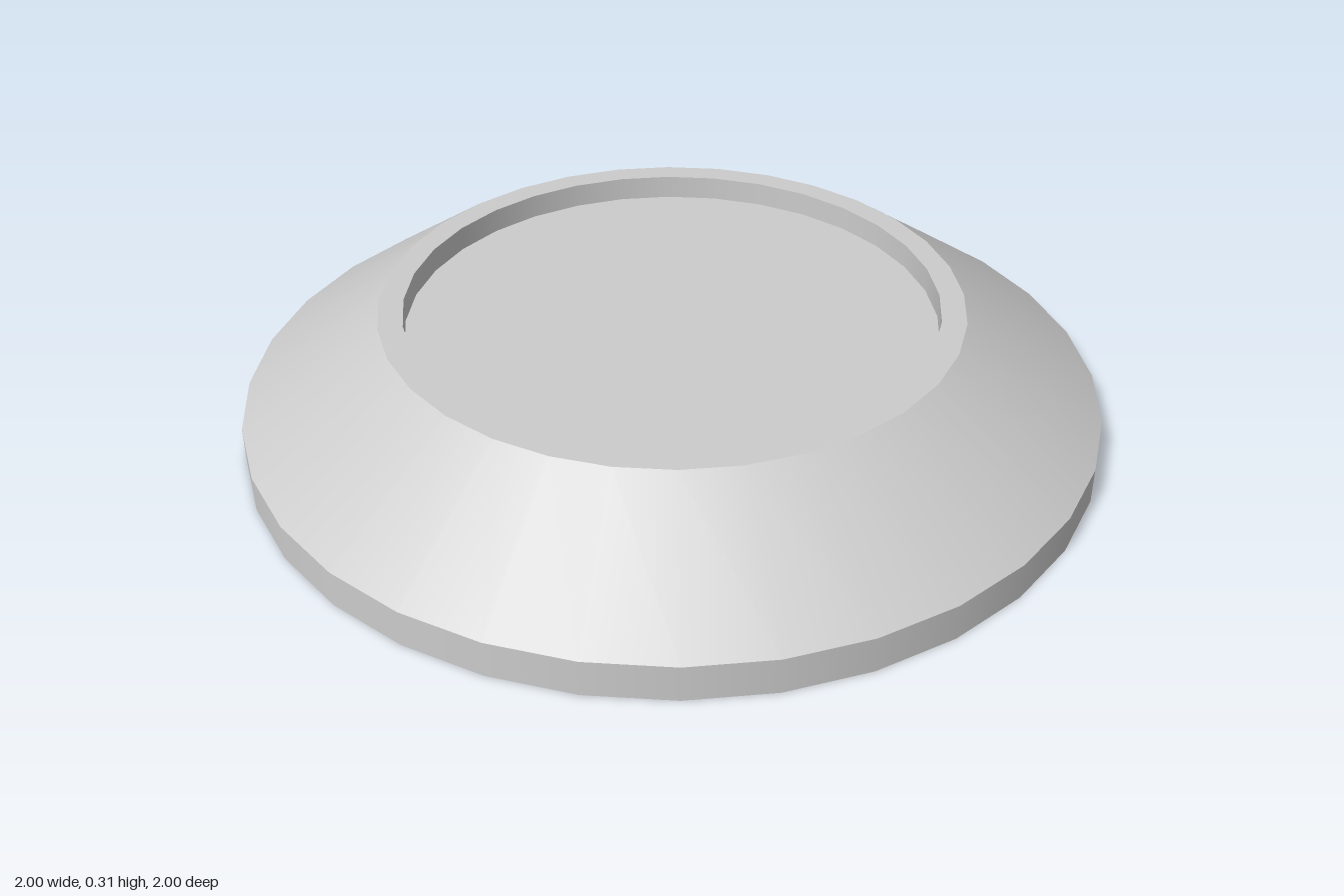
import * as THREE from 'three';

const SIDES = 32;
const material = new THREE.MeshStandardMaterial({ color: 0xcccccc, side: THREE.DoubleSide });
const flatMaterial = new THREE.MeshStandardMaterial({ color: 0xcccccc, side: THREE.DoubleSide, flatShading: true });

// One turned band from a list of [radius, height] points
function turned(name, points, sides = SIDES, mat = material) {
  const profile = points.map(([r, y]) => new THREE.Vector2(r, y));
  const mesh = new THREE.Mesh(new THREE.LatheGeometry(profile, sides), mat);
  mesh.name = name;
  return mesh;
}

export function createModel() {
  const model = new THREE.Group();
  model.name = 'ceilingFixture';

  // Thin, hollow outer shell; separate bands keep the edges between them sharp
  const shell = new THREE.Group();
  shell.name = 'outerShell';
  shell.add(
    turned('rim', [[1, 0], [1, 0.085]]),
    turned('slopedCover', [[1, 0.085], [0.675, 0.31]]),
    turned('topLip', [[0.675, 0.31], [0.618, 0.31]]),
    turned('recessWall', [[0.618, 0.31], [0.618, 0.252]]),
    turned('recessFloor', [[0.618, 0.252], [0, 0.252]])
  );
  model.add(shell);

  // Neck under the floor
  model.add(turned('neck', [[0.447, 0.18], [0.447, 0.252]]));

  // Eight-sided bezel: flared outside, dished underside
  model.add(turned('bezel', [[0.37, 0.13], [0.537, 0.069], [0.447, 0.18]], 8, flatMaterial));

  // Shallow dome bulging downwards
  const radius = 0.643, centreY = 0.651, dome = [];
  for (let i = 0; i <= 10; i++) {
    const a = (i / 10) * Math.asin(0.374 / radius);
    dome.push([radius * Math.sin(a), centreY - radius * Math.cos(a)]);
  }
  model.add(turned('dome', dome));

  // Ring of small round lamps on the dome
  const lamps = new THREE.Group();
  lamps.name = 'lamps';
  const lampGeometry = new THREE.CylinderGeometry(0.043, 0.043, 0.04, 16);
  for (let i = 0; i < 8; i++) {
    const a = (i * Math.PI) / 4;
    const lamp = new THREE.Mesh(lampGeometry, material);
    lamp.name = 'lamp';
    lamp.position.set(0.155 * Math.sin(a), 0.026, 0.155 * Math.cos(a));
    lamps.add(lamp);
  }
  model.add(lamps);

  return model;
}
